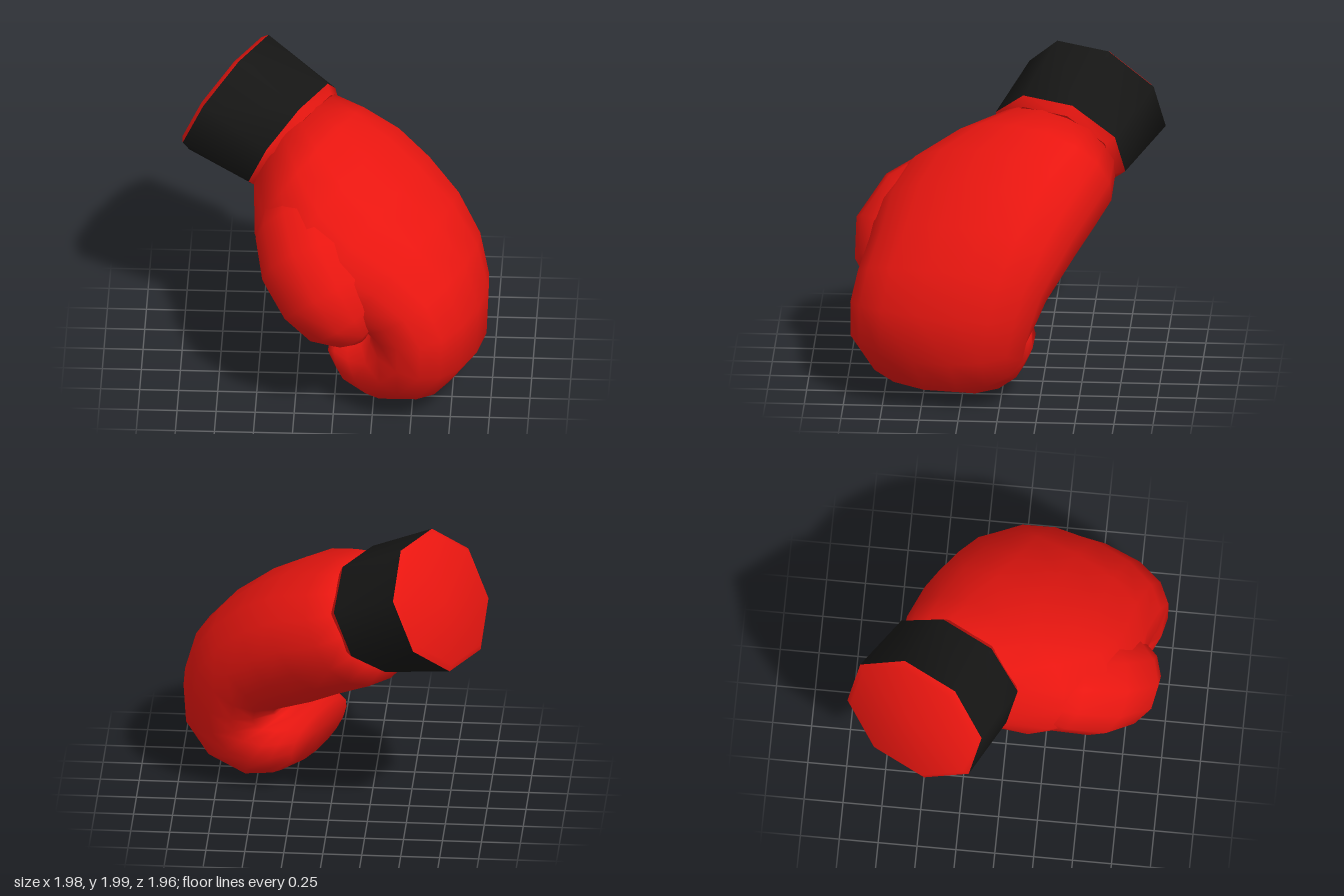
import * as THREE from 'three';
import { toCreasedNormals } from 'three/addons/utils/BufferGeometryUtils.js';

// Glove frame: E runs forward along the hand, Y is up, W runs across towards the thumb
const E = new THREE.Vector3(0.89, 0, 0.46).normalize();
const Y = new THREE.Vector3(0, 1, 0);
const W = new THREE.Vector3().crossVectors(E, Y);
const place = (e, y, w) => new THREE.Vector3(0, y, 0).addScaledVector(E, e).addScaledVector(W, w);

const red = new THREE.MeshStandardMaterial({ color: 0xe81610 });
const black = new THREE.MeshStandardMaterial({ color: 0x161615 });

// Closed ring round a centre, spanned by half-axes n and b; power > 2 squares it off
function ring(center, n, b, sides, power = 2, offset = 0) {
  const soft = (v) => Math.sign(v) * Math.pow(Math.abs(v), 2 / power);
  return Array.from({ length: sides }, (_, j) => {
    const a = offset + (j / sides) * Math.PI * 2;
    return center.clone().addScaledVector(n, soft(Math.cos(a))).addScaledVector(b, soft(Math.sin(a)));
  });
}

// Skin a row of rings, with optional end caps
function loft(rings, capStart = true, capEnd = true) {
  const sides = rings[0].length;
  const points = rings.flat();
  const index = [];
  for (let i = 0; i < rings.length - 1; i++) {
    for (let j = 0; j < sides; j++) {
      const k = (j + 1) % sides;
      const a = i * sides + j, b = i * sides + k, c = a + sides, d = b + sides;
      index.push(a, b, c, b, d, c);
    }
  }
  const cap = (row, flip) => {
    const mid = new THREE.Vector3();
    rings[row].forEach((p) => mid.addScaledVector(p, 1 / sides));
    const m = points.push(mid) - 1;
    for (let j = 0; j < sides; j++) {
      const a = row * sides + j, b = row * sides + ((j + 1) % sides);
      if (flip) index.push(m, b, a);
      else index.push(m, a, b);
    }
  };
  if (capStart) cap(0, true);
  if (capEnd) cap(rings.length - 1, false);
  const geometry = new THREE.BufferGeometry().setFromPoints(points);
  geometry.setIndex(index);
  geometry.computeVertexNormals();
  return geometry;
}

function addMesh(group, name, geometry, material) {
  const mesh = new THREE.Mesh(geometry, material);
  mesh.name = name;
  group.add(mesh);
}

// Mitt: each station has its back-of-hand point, palm point (E, Y),
// W range, and how far the thumb side leans forward and drops
function mittGeometry() {
  const stations = [
    [-0.26, 1.71, -0.56, 1.08, -0.56, 0.29, 0, 0],
    [-0.02, 1.65, -0.45, 0.9, -0.63, 0.55, 0, 0.03],
    [0.24, 1.55, -0.2, 0.75, -0.66, 0.76, 0, 0.07],
    [0.49, 1.4, 0.02, 0.63, -0.65, 0.78, 0.02, 0.08],
    [0.74, 1.2, 0.2, 0.57, -0.63, 0.69, 0.05, 0.06],
    [0.95, 0.96, 0.31, 0.54, -0.59, 0.65, 0.08, 0.03],
    [1.06, 0.68, 0.35, 0.52, -0.55, 0.64, 0.1, 0],
    [1.06, 0.36, 0.35, 0.5, -0.5, 0.64, 0.09, 0],
    [0.88, 0.11, 0.32, 0.49, -0.44, 0.62, 0.06, 0],
    [0.58, 0.0, 0.26, 0.49, -0.38, 0.58, 0.03, 0],
    [0.36, 0.05, 0.2, 0.5, -0.35, 0.55, 0.02, 0],
    [0.19, 0.17, 0.14, 0.48, -0.3, 0.47, 0.03, 0],
  ];
  return loft(stations.map(([oe, oy, ie, iy, w0, w1, lean, drop]) => {
    const n = place((oe - ie) / 2, (oy - iy) / 2, 0);
    const b = place(lean, -drop, (w1 - w0) / 2);
    return ring(place((oe + ie) / 2, (oy + iy) / 2, (w0 + w1) / 2), n, b, 16, 2.2);
  }));
}

// Thumb: round sections along a bent path of x, y, z, radius
function thumbGeometry() {
  const path = [
    [-0.24, 1.22, 0.12, 0.25],
    [-0.19, 1.11, 0.34, 0.33],
    [-0.13, 0.98, 0.55, 0.35],
    [-0.04, 0.84, 0.68, 0.32],
    [0.05, 0.71, 0.71, 0.26],
    [0.12, 0.61, 0.71, 0.17],
    [0.14, 0.55, 0.7, 0.08],
  ];
  const centers = path.map(([x, y, z]) => new THREE.Vector3(x, y, z));
  const last = centers.length - 1;
  return loft(centers.map((c, i) => {
    const t = centers[Math.min(i + 1, last)].clone().sub(centers[Math.max(i - 1, 0)]).normalize();
    const b = new THREE.Vector3().crossVectors(t, new THREE.Vector3(0.86, 0.5, 0)).normalize();
    const n = new THREE.Vector3().crossVectors(b, t);
    const r = path[i][3];
    return ring(c, n.multiplyScalar(r), b.multiplyScalar(r), 12);
  }));
}

// Cuff section: rows of distance along the wrist, half height, half width
function cuffGeometry(rows, capStart, capEnd) {
  const rings = rows.map(([s, high, wide]) => ring(
    place(-0.92 + 0.93 * s, 1.62 - 0.36 * s, -0.15),
    place(0.43 * high, 0.9 * high, 0), W.clone().multiplyScalar(wide), 8, 2, Math.PI / 8));
  return toCreasedNormals(loft(rings, capStart, capEnd), 0.88);
}

export function createModel() {
  const glove = new THREE.Group();
  glove.name = 'boxingGlove';
  addMesh(glove, 'mitt', mittGeometry(), red);
  addMesh(glove, 'thumb', thumbGeometry(), red);
  addMesh(glove, 'cuffBand', cuffGeometry([[0.03, 0.46, 0.5], [0.53, 0.4, 0.48]], false, false), black);
  addMesh(glove, 'cuffEnd', cuffGeometry([[0, 0.42, 0.46], [0.03, 0.46, 0.5]], true, false), red);
  addMesh(glove, 'cuffLip', cuffGeometry([[0.53, 0.4, 0.48], [0.59, 0.35, 0.43]], false, true), red);
  return glove;
}
